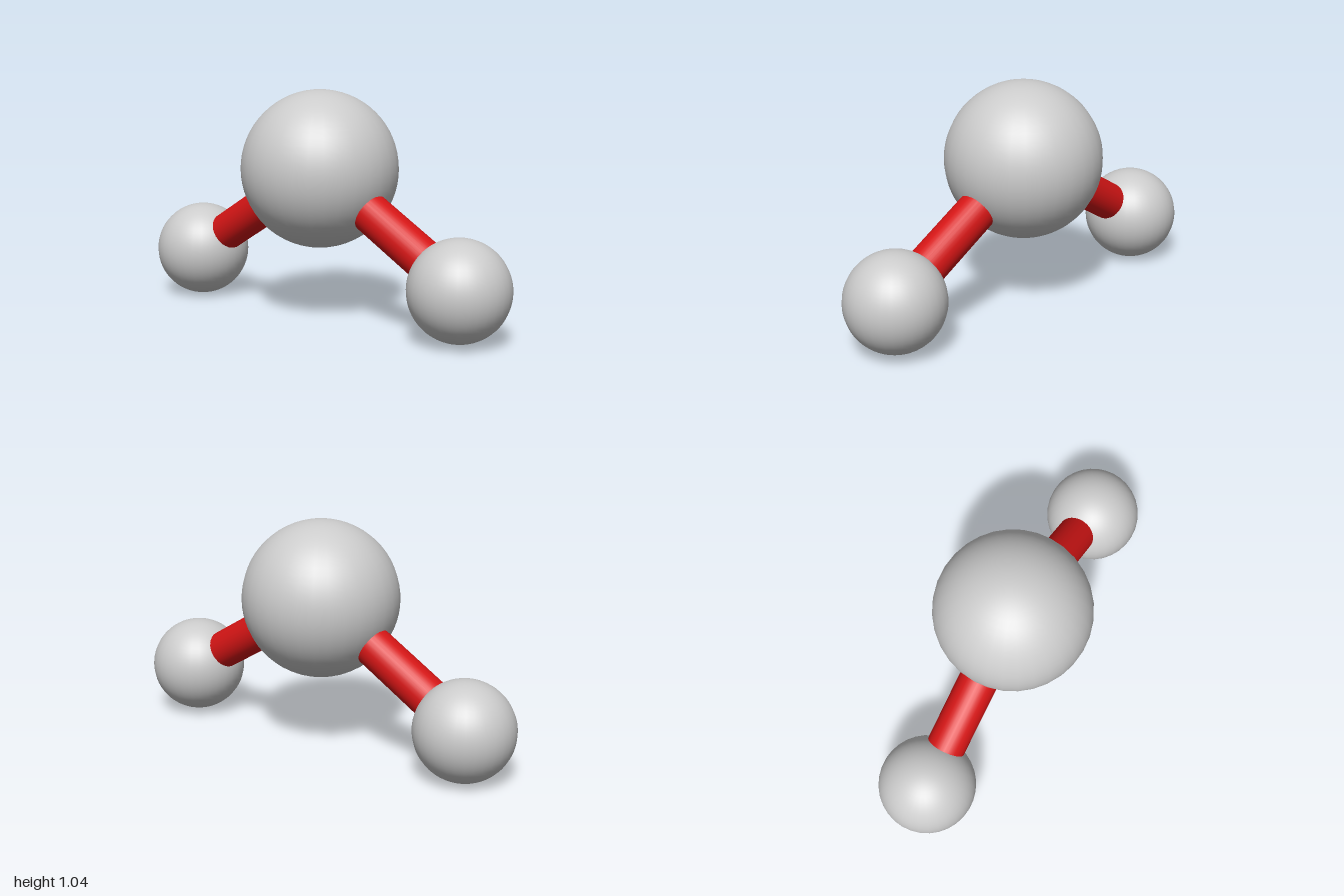
import * as THREE from 'three';

export function createModel() {
  const group = new THREE.Group();
  const grey = new THREE.MeshStandardMaterial({ color: 0xcccccc });
  const red = new THREE.MeshStandardMaterial({ color: 0xd41515 });

  const addBall = (name, radius, position) => {
    const ball = new THREE.Mesh(new THREE.SphereGeometry(radius, 32, 32), grey);
    ball.name = name;
    ball.position.copy(position);
    group.add(ball);
  };

  // Rod running between the centres of two balls
  const addBond = (name, from, to) => {
    const direction = to.clone().sub(from);
    const bond = new THREE.Mesh(new THREE.CylinderGeometry(0.089, 0.089, direction.length(), 32), red);
    bond.name = name;
    bond.position.copy(from).add(to).multiplyScalar(0.5);
    bond.quaternion.setFromUnitVectors(new THREE.Vector3(0, 1, 0), direction.normalize());
    group.add(bond);
  };

  // Large central atom
  const centre = new THREE.Vector3(0, 0.681, 0);
  addBall('centralAtom', 0.356, centre);

  // Two small atoms, each joined to the centre by a bond; the front one sits slightly higher
  for (const [side, y, z] of [['front', 0.233, 0.778], ['back', 0.224, -0.778]]) {
    const end = new THREE.Vector3(0, y, z);
    addBall(side + 'Atom', 0.222, end);
    addBond(side + 'Bond', centre, end);
  }

  return group;
}
